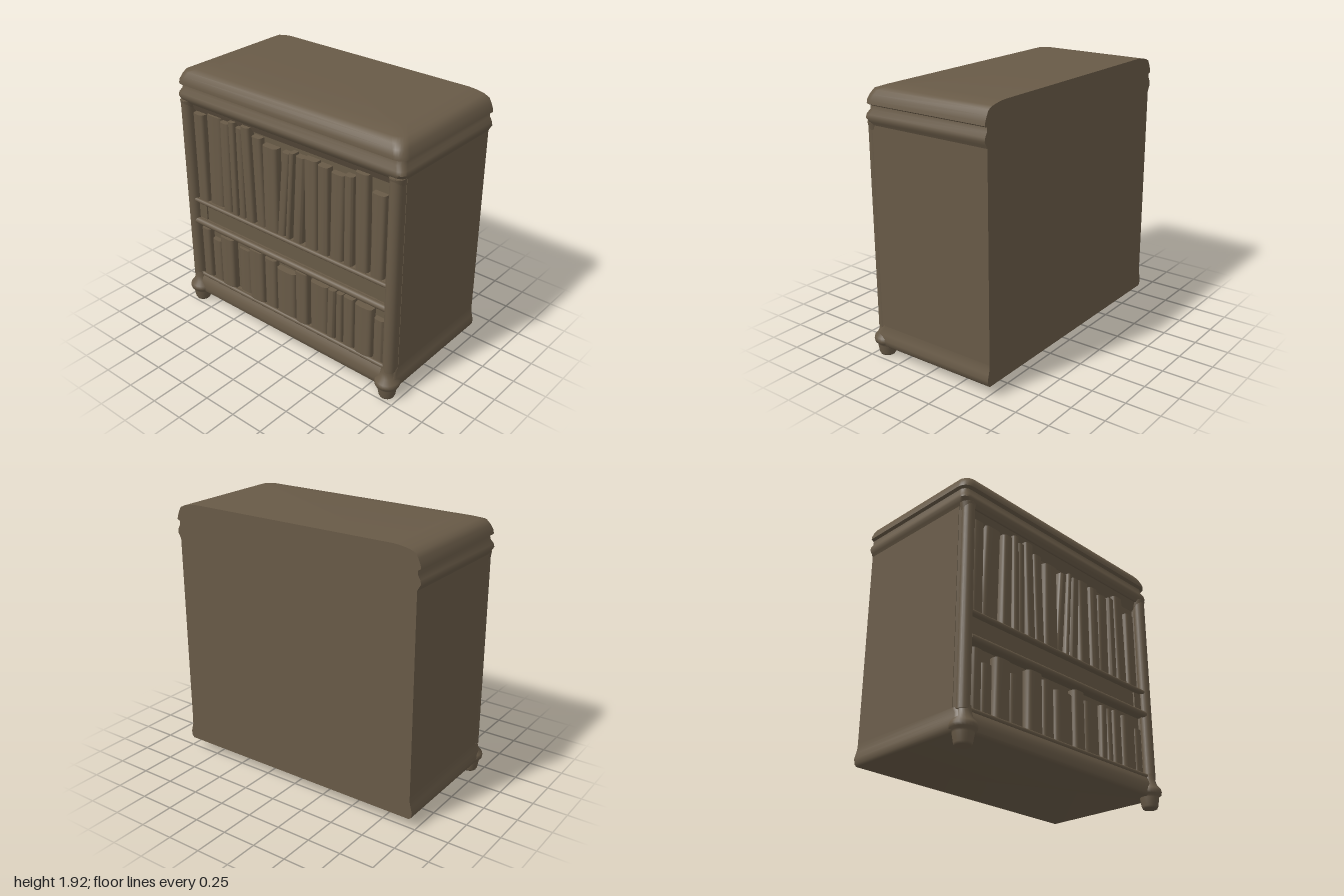
import * as THREE from 'three';
import { toCreasedNormals } from 'three/addons/utils/BufferGeometryUtils.js';

const BACK = -0.52;

// Stacked outlines, square at the back and rounded at the front corners: [y, halfWidth, frontZ]
function loft(sections, radius) {
  const pos = [], idx = [], steps = 6;
  const n = 2 * (steps + 1) + 2;
  for (const [y, hx, zf] of sections) {
    pos.push(-hx, y, BACK);
    for (let i = 0; i <= steps; i++) {
      const a = (i / steps) * Math.PI / 2;
      pos.push(-hx + radius - radius * Math.cos(a), y, zf - radius + radius * Math.sin(a));
    }
    for (let i = steps; i >= 0; i--) {
      const a = (i / steps) * Math.PI / 2;
      pos.push(hx - radius + radius * Math.cos(a), y, zf - radius + radius * Math.sin(a));
    }
    pos.push(hx, y, BACK);
  }
  for (let s = 0; s < sections.length - 1; s++) {
    for (let i = 0; i < n; i++) {
      const a = s * n + i, b = s * n + (i + 1) % n;
      idx.push(a, b, b + n, a, b + n, a + n);
    }
  }
  const top = (sections.length - 1) * n;
  for (let i = 1; i < n - 1; i++) {
    idx.push(0, i + 1, i);
    idx.push(top, top + i, top + i + 1);
  }
  const g = new THREE.BufferGeometry();
  g.setAttribute('position', new THREE.Float32BufferAttribute(pos, 3));
  g.setIndex(idx);
  return toCreasedNormals(g, 0.8);
}

// A book with a softly rounded spine that may lean sideways
function book(x0, x1, y0, y1, z, lean) {
  const g = new THREE.CylinderGeometry(1, 1, 1, 20, 1);
  const p = g.attributes.position;
  const soft = v => Math.sign(v) * Math.sqrt(Math.abs(v));
  for (let i = 0; i < p.count; i++) {
    const t = p.getY(i) + 0.5;
    p.setXYZ(i,
      (x0 + x1) / 2 + soft(p.getX(i)) * (x1 - x0) / 2 + lean * (t - 0.5),
      y0 + t * (y1 - y0),
      z - 0.05 + soft(p.getZ(i)) * 0.05);
  }
  return toCreasedNormals(g, 0.9);
}

export function createModel() {
  const group = new THREE.Group();
  const wood = new THREE.MeshStandardMaterial({ color: 0x685a47 });
  wood.name = 'brown wood';

  const add = (name, geometry, x = 0, y = 0, z = 0, parent = group) => {
    const m = new THREE.Mesh(geometry, wood);
    m.name = name;
    m.position.set(x, y, z);
    parent.add(m);
    return m;
  };
  const box = (name, w, h, d, x, y, z) => add(name, new THREE.BoxGeometry(w, h, d), x, y, z);

  // Solid carcass behind the shelves
  box('carcass', 1.93, 1.5, 0.91, 0, 0.93, BACK + 0.455);

  // Base moulding, cornice and domed lid
  add('base', loft([
    [0.08, 0.965, 0.45], [0.095, 0.98, 0.47], [0.13, 0.985, 0.475],
    [0.17, 0.975, 0.47], [0.2, 0.967, 0.46], [0.235, 0.965, 0.44],
  ], 0.05));
  add('cornice', loft([
    [1.66, 0.965, 0.445], [1.68, 0.975, 0.46], [1.705, 0.99, 0.472],
    [1.73, 0.985, 0.468], [1.76, 0.968, 0.45], [1.8, 0.965, 0.445],
  ], 0.05));
  add('lid', loft([
    [1.79, 0.97, 0.455], [1.8, 0.987, 0.472], [1.825, 0.982, 0.472], [1.86, 0.967, 0.458],
    [1.89, 0.95, 0.44], [1.908, 0.91, 0.39], [1.92, 0.85, 0.32], [1.925, 0.79, 0.26],
  ], 0.07));

  // Stiles, corner columns and turned feet
  const footProfile = [
    [0, 0], [0.05, 0], [0.058, 0.015], [0.068, 0.075], [0.07, 0.09], [0.086, 0.1],
    [0.09, 0.12], [0.085, 0.14], [0.06, 0.17], [0.048, 0.21], [0.045, 0.25],
  ].map(([r, y]) => new THREE.Vector2(r, y));
  for (const s of [-1, 1]) {
    box('stile', 0.08, 1.45, 0.08, s * 0.922, 0.945, 0.4);
    add('column', new THREE.CylinderGeometry(0.045, 0.045, 1.46, 20), s * 0.92, 0.95, 0.432);
    add('foot', new THREE.LatheGeometry(footProfile, 24), s * 0.91, 0, 0.43);
    add('columnCap', new THREE.CylinderGeometry(0.055, 0.045, 0.05, 20), s * 0.92, 1.65, 0.425);
    box('panelEnd', 0.075, 0.13, 0.05, s * 0.835, 0.805, 0.405);
  }

  // Rounded shelf rails and the plain panel between them
  const rail = (name, y, r, z) => {
    const g = new THREE.CylinderGeometry(r, r, 1.78, 14);
    g.rotateZ(Math.PI / 2);
    add(name, g, 0, y, z);
  };
  box('middlePanel', 1.78, 0.18, 0.05, 0, 0.8, 0.393);
  box('upperShelf', 1.78, 0.025, 0.08, 0, 0.89, 0.41);
  rail('upperShelfRail', 0.89, 0.016, 0.447);
  box('lowerShelf', 1.78, 0.04, 0.08, 0, 0.712, 0.41);
  rail('lowerShelfRail', 0.712, 0.024, 0.445);
  rail('bottomRail', 0.235, 0.016, 0.44);

  // Sloping cove beneath the cornice
  const cove = box('cove', 1.78, 0.09, 0.03, 0, 1.64, 0.405);
  cove.rotation.x = 0.5;

  // Rows of books: [left, right, top, spine z, lean]
  const upper = [
    [-0.87, -0.77, 1.59, 0.44, 0], [-0.755, -0.61, 1.61, 0.425, 0.02], [-0.6, -0.51, 1.6, 0.445, 0.01],
    [-0.505, -0.45, 1.63, 0.45, 0], [-0.445, -0.385, 1.6, 0.44, 0], [-0.38, -0.3, 1.63, 0.45, -0.02],
    [-0.285, -0.2, 1.58, 0.44, -0.02], [-0.19, -0.06, 1.55, 0.45, 0], [-0.045, 0.025, 1.55, 0.44, 0.06],
    [0.035, 0.075, 1.57, 0.45, 0.05], [0.09, 0.17, 1.56, 0.445, 0.04], [0.18, 0.29, 1.57, 0.445, 0],
    [0.3, 0.39, 1.56, 0.45, 0], [0.4, 0.51, 1.54, 0.44, 0.01], [0.52, 0.59, 1.56, 0.445, 0],
    [0.605, 0.71, 1.61, 0.44, -0.01], [0.735, 0.84, 1.51, 0.44, 0],
  ];
  const lower = [
    [-0.86, -0.775, 0.66, 0.445, 0], [-0.765, -0.67, 0.59, 0.43, 0], [-0.66, -0.525, 0.66, 0.45, 0],
    [-0.5, -0.38, 0.61, 0.415, 0], [-0.365, -0.225, 0.67, 0.45, 0], [-0.215, -0.105, 0.65, 0.44, 0],
    [-0.095, 0.08, 0.615, 0.445, 0], [0.09, 0.2, 0.67, 0.45, 0], [0.215, 0.37, 0.63, 0.435, 0],
    [0.38, 0.445, 0.645, 0.445, 0.01], [0.455, 0.51, 0.64, 0.44, 0], [0.52, 0.61, 0.645, 0.445, 0],
    [0.62, 0.765, 0.635, 0.45, 0], [0.775, 0.86, 0.58, 0.435, 0],
  ];
  for (const [name, row, y0] of [['upperBooks', upper, 0.9], ['lowerBooks', lower, 0.24]]) {
    const shelf = new THREE.Group();
    shelf.name = name;
    group.add(shelf);
    for (const [x0, x1, top, z, lean] of row) add('book', book(x0, x1, y0, top, z, lean), 0, 0, 0, shelf);
  }
  return group;
}
